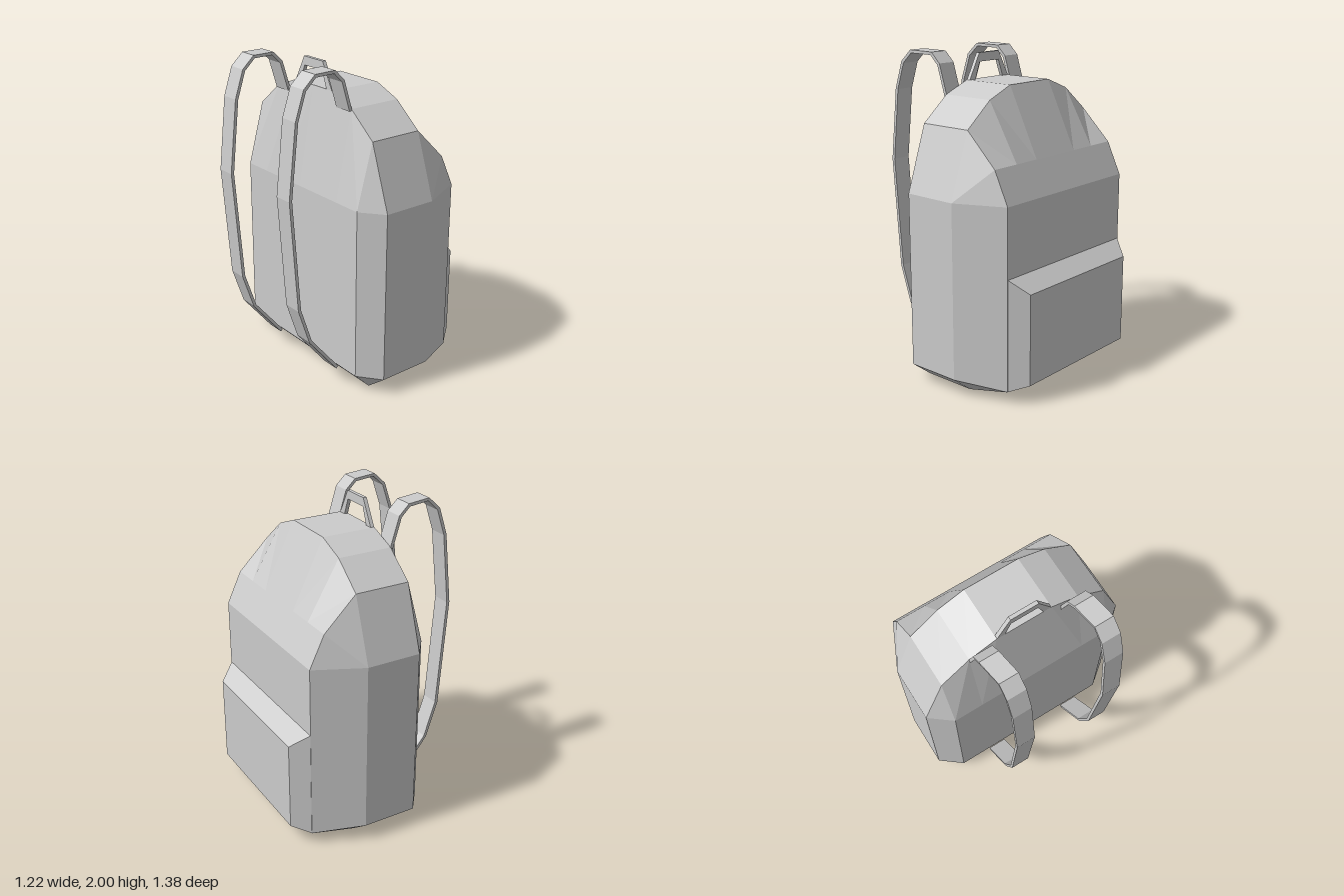
import * as THREE from 'three';

const material = new THREE.MeshStandardMaterial({ color: 0xcccccc, flatShading: true });

// Skin a list of sections (equal-length point lists [x, y, z]) and cap both ends.
function loft(sections, flip = false) {
  const pos = [];
  const tri = (a, b, c) => pos.push(...a, ...(flip ? c : b), ...(flip ? b : c));
  const n = sections[0].length;
  for (let i = 0; i < sections.length - 1; i++) {
    for (let k = 0; k < n - 1; k++) {
      const a = sections[i][k], b = sections[i + 1][k];
      const c = sections[i][k + 1], d = sections[i + 1][k + 1];
      tri(a, c, b);
      tri(c, d, b);
    }
  }
  const first = sections[0], last = sections[sections.length - 1];
  for (let k = 1; k < n - 1; k++) {
    tri(first[0], first[k + 1], first[k]);
    tri(last[0], last[k], last[k + 1]);
  }
  const geometry = new THREE.BufferGeometry();
  geometry.setAttribute('position', new THREE.Float32BufferAttribute(pos, 3));
  geometry.computeVertexNormals();
  return geometry;
}

function part(name, geometry) {
  const mesh = new THREE.Mesh(geometry, material);
  mesh.name = name;
  return mesh;
}

// Half outlines of the bag as [z, y], from top to bottom, at stations along x.
const middle = [[0.18, 1.82], [0.36, 1.75], [0.55, 1.6], [0.69, 1.2], [0.69, 0.11], [0.55, 0]];
const panel = (bottom) => [[0.18, 1.2], [0.36, 1.2], [0.55, 1.2], [0.55, 1.2], [0.55, bottom], [0.55, bottom]];
const stations = [
  [-0.255, panel(0.11)],
  [-0.145, middle],
  [0.205, middle],
  [0.41, [[0.18, 1.4], [0.36, 1.4], [0.55, 1.4], [0.594, 1.2], [0.594, 0.086], [0.55, 0.051]]],
  [0.505, panel(0.075)],
];

function bodyHalf(side) {
  const sections = stations.map(([x, outline]) => {
    const closed = [[0, outline[0][1]], ...outline, [0, outline[5][1]]];
    return closed.map(([z, y]) => [x, y, z * side]);
  });
  return loft(sections, side < 0);
}

// Bevelled pocket on the front panel.
function pocketGeometry() {
  const rect = (x, low, high, z) =>
    [[x, low, -z], [x, high, -z], [x, high, z], [x, low, z], [x, low, -z]];
  return loft([rect(0.5, 0.075, 0.77, 0.547), rect(0.505, 0.075, 0.77, 0.547), rect(0.61, 0.118, 0.685, 0.47)]);
}

// Flat band following a path in the x-y plane, shifted slightly sideways past the shoulder.
function strapGeometry(zBody) {
  const path = [
    [-0.15, 1.74], [-0.207, 1.925], [-0.268, 1.985], [-0.42, 1.99], [-0.495, 1.92],
    [-0.552, 1.75], [-0.602, 1.295], [-0.55, 0.59], [-0.472, 0.355], [-0.265, 0.1],
  ].map(([x, y]) => new THREE.Vector2(x, y));
  const w = 0.061, t = 0.01;
  return loft(path.map((p, i) => {
    const before = path[Math.max(i - 1, 0)], after = path[Math.min(i + 1, path.length - 1)];
    const dir = p.clone().sub(before).normalize().add(after.clone().sub(p).normalize()).normalize();
    const nx = dir.y * t, ny = -dir.x * t;
    const z = zBody + (i < 3 ? 0 : 0.024);
    const corner = (sz, sn) => [p.x + nx * sn, p.y + ny * sn, z + w * sz];
    return [corner(-1, -1), corner(1, -1), corner(1, 1), corner(-1, 1), corner(-1, -1)];
  }));
}

// Grab handle: trapezoid arch standing on the top rear edge.
function handleGeometry() {
  const points = [[-0.18, 1.815], [-0.09, 1.98], [0.09, 1.98], [0.18, 1.815],
    [0.128, 1.815], [0.086, 1.925], [-0.086, 1.925], [-0.128, 1.815]];
  const shape = new THREE.Shape(points.map(([x, y]) => new THREE.Vector2(x, y)));
  const geometry = new THREE.ExtrudeGeometry(shape, { depth: 0.024, bevelEnabled: false });
  return geometry.rotateY(Math.PI / 2).translate(-0.145, 0, 0);
}

export function createModel() {
  const model = new THREE.Group();
  model.name = 'backpack';

  const body = new THREE.Group();
  body.name = 'body';
  body.add(part('bodyHalfA', bodyHalf(1)), part('bodyHalfB', bodyHalf(-1)));

  model.add(
    body,
    part('pocket', pocketGeometry()),
    part('handle', handleGeometry()),
    part('shoulderStrapA', strapGeometry(0.3)),
    part('shoulderStrapB', strapGeometry(-0.3)),
  );
  return model;
}
